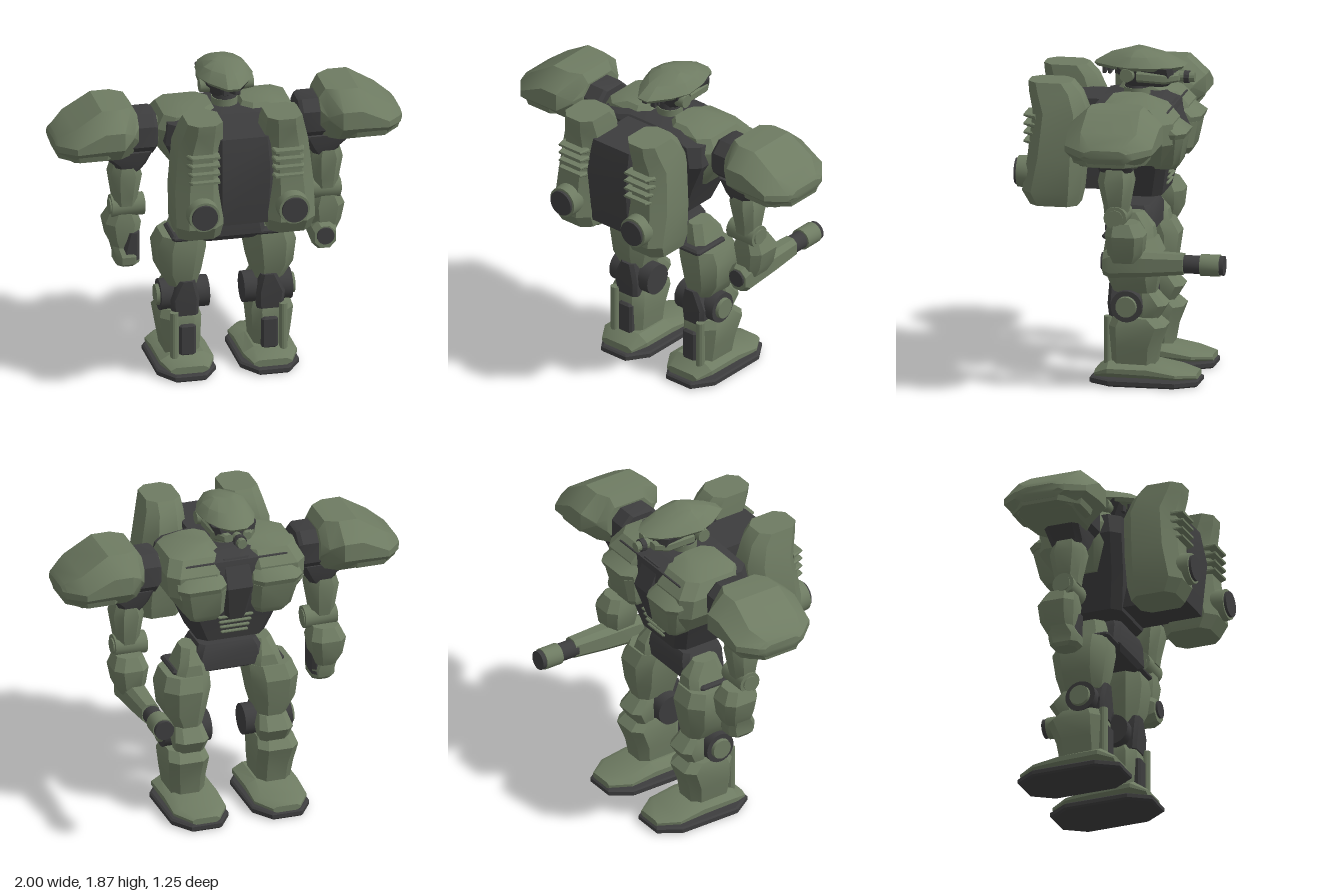
import * as THREE from 'three';
import { toCreasedNormals } from 'three/addons/utils/BufferGeometryUtils.js';

const olive = new THREE.MeshStandardMaterial({ color: 0x6e7b62 });
olive.name = 'olive armour';
const dark = new THREE.MeshStandardMaterial({ color: 0x3d3d3e });
dark.name = 'dark frame';

// Right-handed axis orders: length axis, then the two cross axes (u, v)
const ORDER = { x: [0, 1, 2], y: [1, 2, 0], z: [2, 0, 1] };

// Skin rings of [u, v] points placed at positions t along an axis
function skin(axis, rings) {
  const n = rings[0].pts.length, pos = [], idx = [], o = ORDER[axis];
  for (const { t, pts } of rings) for (const [u, v] of pts) {
    const p = [];
    p[o[0]] = t; p[o[1]] = u; p[o[2]] = v;
    pos.push(...p);
  }
  const last = (rings.length - 1) * n;
  for (let k = 0; k < last; k += n) for (let i = 0; i < n; i++) {
    const j = (i + 1) % n;
    idx.push(k + i, k + j, k + n + j, k + i, k + n + j, k + n + i);
  }
  for (let i = 1; i < n - 1; i++) idx.push(0, i + 1, i, last, last + i, last + i + 1);
  const g = new THREE.BufferGeometry();
  g.setAttribute('position', new THREE.Float32BufferAttribute(pos, 3));
  g.setIndex(idx);
  return g;
}

// Loft of chamfered rectangles: [t, u0, u1, v0, v1, chamferU, chamferV]
// x: u = y, v = z;  y: u = z, v = x;  z: u = x, v = y
function loft(axis, sections) {
  return skin(axis, sections.map(([t, a, b, c, d, p = 0.03, q = p]) => ({
    t, pts: [[a + p, c], [b - p, c], [b, c + q], [b, d - q], [b - p, d], [a + p, d], [a, d - q], [a, c + q]],
  })));
}

function block(x0, x1, y0, y1, z0, z1, c = 0.012) {
  return loft('y', [[y0, z0 + c, z1 - c, x0 + c, x1 - c, c], [y0 + c, z0, z1, x0, x1, c],
    [y1 - c, z0, z1, x0, x1, c], [y1, z0 + c, z1 - c, x0 + c, x1 - c, c]]);
}

function rod(axis, r0, r1, from, to, x, y, z, sides = 20) {
  const g = new THREE.CylinderGeometry(r1, r0, to - from, sides).translate(0, (from + to) / 2, 0);
  if (axis === 'x') g.rotateZ(-Math.PI / 2);
  if (axis === 'z') g.rotateX(Math.PI / 2);
  return g.translate(x, y, z);
}

function add(parent, name, geo, mat, side = 1) {
  let g = geo.index ? geo.toNonIndexed() : geo;
  if (side < 0) {
    // reflect in x and restore the corner order
    const p = g.attributes.position;
    for (let i = 0; i < p.count; i += 3) {
      const [a, b, c] = [0, 2, 1].map((k) => [-p.getX(i + k), p.getY(i + k), p.getZ(i + k)]);
      p.setXYZ(i, ...a); p.setXYZ(i + 1, ...b); p.setXYZ(i + 2, ...c);
    }
  }
  g.deleteAttribute('uv');
  g = toCreasedNormals(g, 0.5);
  const m = new THREE.Mesh(g, mat);
  m.name = name;
  parent.add(m);
}

function group(parent, name) {
  const g = new THREE.Group();
  g.name = name;
  parent.add(g);
  return g;
}

function buildHead(root) {
  const head = group(root, 'head');
  // helmet: one plan outline [z, x] scaled up through levels [y, scaleZ, scaleX]
  const half = [[-0.3, 0.045], [-0.24, 0.105], [-0.14, 0.145], [0, 0.16], [0.1, 0.12], [0.22, 0.035]];
  const plan = [...half.map(([z, x]) => [z, -x]), ...half.slice().reverse()];
  add(head, 'helmet', skin('y', [[1.765, 0.93, 0.9], [1.785, 1, 1], [1.84, 0.62, 0.77], [1.872, 0.16, 0.42]]
    .map(([t, s, w]) => ({ t, pts: plan.map(([z, x]) => [-0.02 + (z + 0.02) * s, x * w]) }))), olive);
  add(head, 'face', loft('y', [[1.665, -0.2, 0.03, -0.07, 0.07], [1.71, -0.25, 0.06, -0.11, 0.11], [1.78, -0.24, 0.1, -0.13, 0.13]]), dark);
  add(head, 'snout', rod('z', 0.028, 0.032, -0.35, -0.23, 0, 1.715, 0, 12), olive);
  add(head, 'snoutRing', rod('z', 0.037, 0.037, -0.32, -0.29, 0, 1.715, 0, 12), dark);
  add(head, 'neck', rod('y', 0.08, 0.065, 1.55, 1.7, 0, 0, -0.02), dark);
  add(head, 'collar', rod('y', 0.075, 0.075, 1.61, 1.65, 0, 0, -0.02), olive);
  for (const s of [1, -1]) {
    add(head, 'ear', rod('x', 0.045, 0.038, 0.1, 0.155, 0, 1.74, 0.015, 14), olive, s);
    add(head, 'cheek', loft('z', [[-0.27, 0.03, 0.08, 1.7, 1.745, 0.01], [-0.2, 0.05, 0.125, 1.69, 1.755, 0.015], [-0.04, 0.07, 0.14, 1.7, 1.765, 0.015]]), olive, s);
    for (const z of [0.09, 0.13, 0.16]) add(head, 'rearFin', block(0.015, 0.05, 1.725, 1.785, z - 0.01, z + 0.01, 0.004), dark, s);
  }
}

function buildTorso(root) {
  const torso = group(root, 'torso');
  add(torso, 'torsoCore', loft('y', [[1.06, -0.19, 0.13, -0.2, 0.2, 0.05], [1.25, -0.23, 0.17, -0.28, 0.28, 0.05],
    [1.45, -0.28, 0.2, -0.38, 0.38, 0.05], [1.57, -0.25, 0.19, -0.36, 0.36, 0.06], [1.61, -0.17, 0.16, -0.2, 0.2, 0.06]]), dark);
  add(torso, 'breastbone', loft('y', [[1.2, -0.24, 0, -0.06, 0.06, 0.02], [1.42, -0.31, 0, -0.09, 0.09, 0.02], [1.58, -0.24, 0, -0.09, 0.09, 0.02]]), dark);
  add(torso, 'packCore', loft('y', [[1.08, 0.1, 0.5, -0.15, 0.15, 0.02], [1.4, 0.15, 0.53, -0.16, 0.16, 0.02], [1.6, 0.15, 0.49, -0.15, 0.15, 0.02]]), dark);
  // belly ribs
  for (let i = 0; i < 4; i++) {
    const y = 1.105 + i * 0.034, w = 0.08 + i * 0.008;
    add(torso, 'bellyRib', block(-w, w, y, y + 0.016, -0.215 - i * 0.008, -0.16, 0.005), olive);
  }
  for (const s of [1, -1]) {
    // chest armour
    add(torso, 'chestPlate', loft('y', [[1.26, -0.25, 0.06, 0.09, 0.3, 0.04], [1.4, -0.29, 0.11, 0.07, 0.4, 0.05],
      [1.52, -0.29, 0.13, 0.07, 0.41, 0.06], [1.6, -0.22, 0.12, 0.07, 0.37, 0.06], [1.635, -0.12, 0.09, 0.09, 0.27, 0.05]]), olive, s);
    add(torso, 'lowerChestPod', loft('y', [[1.24, -0.29, -0.15, 0.11, 0.28, 0.03], [1.28, -0.315, -0.14, 0.09, 0.31, 0.03], [1.43, -0.345, -0.13, 0.08, 0.35, 0.04]]), olive, s);
    add(torso, 'upperChestPod', loft('y', [[1.43, -0.35, -0.15, 0.08, 0.36, 0.05], [1.46, -0.362, -0.15, 0.08, 0.37, 0.05], [1.525, -0.27, -0.15, 0.1, 0.35, 0.04]]), olive, s);
    add(torso, 'shoulderSocket', rod('x', 0.1, 0.085, 0.34, 0.43, 0, 1.47, -0.02), olive, s);

    // back pod
    const pod = group(root, s > 0 ? 'leftBackPod' : 'rightBackPod');
    add(pod, 'podShell', loft('y', [[1.02, 0.26, 0.53, 0.14, 0.38, 0.05], [1.1, 0.24, 0.575, 0.13, 0.4, 0.06],
      [1.3, 0.22, 0.545, 0.125, 0.4, 0.07], [1.55, 0.205, 0.52, 0.12, 0.375, 0.07], [1.66, 0.25, 0.545, 0.125, 0.345, 0.06], [1.72, 0.305, 0.55, 0.13, 0.33, 0.05]]), olive, s);
    add(pod, 'thrusterRing', rod('z', 0.095, 0.088, 0.53, 0.61, 0.26, 1.19, 0, 28), olive, s);
    add(pod, 'thruster', rod('z', 0.076, 0.074, 0.56, 0.625, 0.26, 1.19, 0, 28), dark, s);
    for (let i = 0; i < 4; i++) {
      const y = 1.36 + i * 0.05;
      add(pod, 'ventSlat', loft('z', [[0.5, 0.15, 0.34, y - 0.005, y + 0.025, 0.008], [0.57, 0.16, 0.32, y + 0.012, y + 0.025, 0.004]]), olive, s);
    }
  }
  add(torso, 'pelvis', loft('y', [[0.82, -0.09, 0.11, -0.16, 0.16, 0.03], [0.85, -0.14, 0.13, -0.21, 0.21, 0.03],
    [0.96, -0.14, 0.13, -0.19, 0.19, 0.03], [1.0, -0.12, 0.12, -0.17, 0.17, 0.03]]), dark);
}

function buildLeg(root, s) {
  const leg = group(root, s > 0 ? 'leftLeg' : 'rightLeg');
  add(leg, 'hipGuard', loft('y', [[0.83, -0.17, 0.08, 0.13, 0.32, 0.04], [0.9, -0.16, 0.07, 0.14, 0.295, 0.04], [0.98, -0.1, 0.05, 0.16, 0.265, 0.04]]), olive, s);
  add(leg, 'hipBar', block(0.1, 0.33, 0.83, 0.865, -0.12, 0.12), dark, s);
  add(leg, 'thigh', loft('y', [[0.53, -0.18, 0.06, 0.17, 0.33, 0.04], [0.62, -0.2, 0.09, 0.145, 0.385, 0.06],
    [0.76, -0.22, 0.11, 0.12, 0.4, 0.07], [0.84, -0.18, 0.1, 0.12, 0.37, 0.06]]), olive, s);
  // knee joint
  add(leg, 'kneeCore', loft('y', [[0.36, -0.1, 0.08, 0.17, 0.32, 0.02], [0.46, -0.12, 0.09, 0.165, 0.33, 0.02], [0.57, -0.1, 0.09, 0.19, 0.28, 0.02]]), dark, s);
  add(leg, 'kneeAxle', rod('x', 0.09, 0.09, 0.1, 0.38, 0, 0.46, -0.03, 24), dark, s);
  add(leg, 'kneeDisc', rod('x', 0.065, 0.058, 0.36, 0.4, 0, 0.46, -0.03, 24), olive, s);
  add(leg, 'kneeCap', loft('y', [[0.37, -0.19, -0.08, 0.17, 0.33, 0.03], [0.46, -0.245, -0.08, 0.15, 0.35, 0.04], [0.53, -0.18, -0.08, 0.17, 0.33, 0.03]]), olive, s);
  add(leg, 'shin', loft('y', [[0.1, -0.18, 0.07, 0.16, 0.35, 0.04], [0.22, -0.2, 0.08, 0.15, 0.37, 0.05],
    [0.34, -0.245, 0.08, 0.145, 0.385, 0.05], [0.39, -0.19, 0.06, 0.16, 0.37, 0.05]]), olive, s);
  add(leg, 'calfPanel', block(0.19, 0.285, 0.12, 0.31, 0.04, 0.1), dark, s);
  add(leg, 'calfPiston', rod('y', 0.025, 0.025, 0.06, 0.39, 0.315, 0, 0.086, 12), olive, s);
  // foot
  add(leg, 'sole', loft('y', [[0, -0.42, 0.18, 0.08, 0.4, 0.12, 0.08], [0.01, -0.43, 0.19, 0.07, 0.41, 0.12, 0.08],
    [0.032, -0.43, 0.19, 0.07, 0.41, 0.12, 0.08], [0.04, -0.42, 0.18, 0.08, 0.4, 0.12, 0.08]]), dark, s);
  add(leg, 'foot', loft('z', [[-0.42, 0.16, 0.32, 0.04, 0.075, 0.02, 0.01], [-0.31, 0.085, 0.395, 0.04, 0.095, 0.04, 0.02],
    [-0.15, 0.085, 0.395, 0.04, 0.13, 0.06, 0.03], [0.08, 0.085, 0.395, 0.04, 0.135, 0.06, 0.035], [0.16, 0.13, 0.35, 0.04, 0.08, 0.03, 0.015]]), olive, s);
}

function buildArm(root, s) {
  const arm = group(root, s > 0 ? 'leftArm' : 'rightArm');
  add(arm, 'shoulderJoint', loft('x', [[0.41, 1.39, 1.6, -0.14, 0.1, 0.06], [0.43, 1.37, 1.61, -0.15, 0.11, 0.06], [0.6, 1.37, 1.61, -0.15, 0.11, 0.06]]), dark, s);
  add(arm, 'upperArmFrame', loft('y', [[1.25, -0.09, 0.06, 0.51, 0.63], [1.31, -0.11, 0.08, 0.47, 0.65], [1.39, -0.12, 0.09, 0.43, 0.74]]), dark, s);
  add(arm, 'shoulderPad', loft('x', [[0.525, 1.42, 1.62, -0.18, 0.12, 0.06, 0.05], [0.56, 1.38, 1.675, -0.23, 0.17, 0.14, 0.09],
    [0.63, 1.375, 1.68, -0.29, 0.23, 0.1, 0.11], [0.74, 1.375, 1.68, -0.29, 0.23, 0.1, 0.11],
    [0.9, 1.385, 1.58, -0.28, 0.22, 0.08, 0.09], [0.985, 1.42, 1.52, -0.18, 0.12, 0.03, 0.05], [1, 1.45, 1.5, -0.15, 0.09, 0.015, 0.04]]), olive, s);
  add(arm, 'padRim', loft('y', [[1.39, -0.2, 0.14, 0.62, 0.95, 0.09], [1.4, -0.235, 0.175, 0.62, 0.98, 0.1], [1.45, -0.25, 0.19, 0.62, 0.99, 0.1]]), olive, s);
  add(arm, 'upperArm', loft('y', [[1.05, -0.08, 0.05, 0.52, 0.64], [1.1, -0.09, 0.055, 0.51, 0.65, 0.035],
    [1.24, -0.115, 0.085, 0.49, 0.67, 0.045], [1.31, -0.1, 0.07, 0.51, 0.65, 0.04]]), olive, s);
  add(arm, 'elbow', rod('x', 0.065, 0.065, 0.47, 0.66, 0, 1.035, -0.02, 16), olive, s);
  add(arm, 'elbowPin', rod('x', 0.045, 0.045, 0.465, 0.668, 0, 1.035, -0.02, 16), olive, s);
  add(arm, 'forearm', loft('y', [[0.77, -0.14, 0.02, 0.52, 0.64], [0.83, -0.17, 0.03, 0.5, 0.67, 0.04],
    [0.93, -0.18, 0.04, 0.485, 0.69, 0.045], [1, -0.14, 0.03, 0.51, 0.66, 0.04]]), olive, s);
  if (s < 0) {
    // hanging fist
    add(arm, 'wrist', loft('y', [[0.71, -0.12, 0.04, 0.5, 0.61, 0.02], [0.88, -0.11, 0.045, 0.5, 0.57, 0.02]]), dark, s);
    add(arm, 'fist', loft('y', [[0.67, -0.1, 0.02, 0.51, 0.62], [0.69, -0.12, 0.045, 0.5, 0.635], [0.735, -0.13, 0.05, 0.5, 0.635], [0.79, -0.13, 0.02, 0.52, 0.65]]), olive, s);
  } else {
    // cannon in place of the fist
    add(arm, 'cannonBody', loft('z', [[-0.4, 0.515, 0.615, 0.71, 0.825, 0.025], [-0.2, 0.505, 0.625, 0.69, 0.83, 0.03],
      [0.02, 0.495, 0.635, 0.675, 0.84, 0.035], [0.06, 0.505, 0.625, 0.69, 0.82, 0.035]]), olive);
    add(arm, 'cannonBreech', rod('z', 0.05, 0.05, 0.04, 0.072, 0.565, 0.765, 0), dark);
    add(arm, 'barrel', rod('z', 0.052, 0.052, -0.51, -0.38, 0.56, 0.765, 0), dark);
    add(arm, 'muzzleSleeve', rod('z', 0.062, 0.062, -0.605, -0.495, 0.56, 0.765, 0), olive);
    add(arm, 'muzzle', rod('z', 0.056, 0.056, -0.63, -0.6, 0.56, 0.765, 0), dark);
  }
}

export function createModel() {
  const root = new THREE.Group();
  root.name = 'walkingRobot';
  buildHead(root);
  buildTorso(root);
  for (const s of [1, -1]) {
    buildLeg(root, s);
    buildArm(root, s);
  }
  return root;
}
